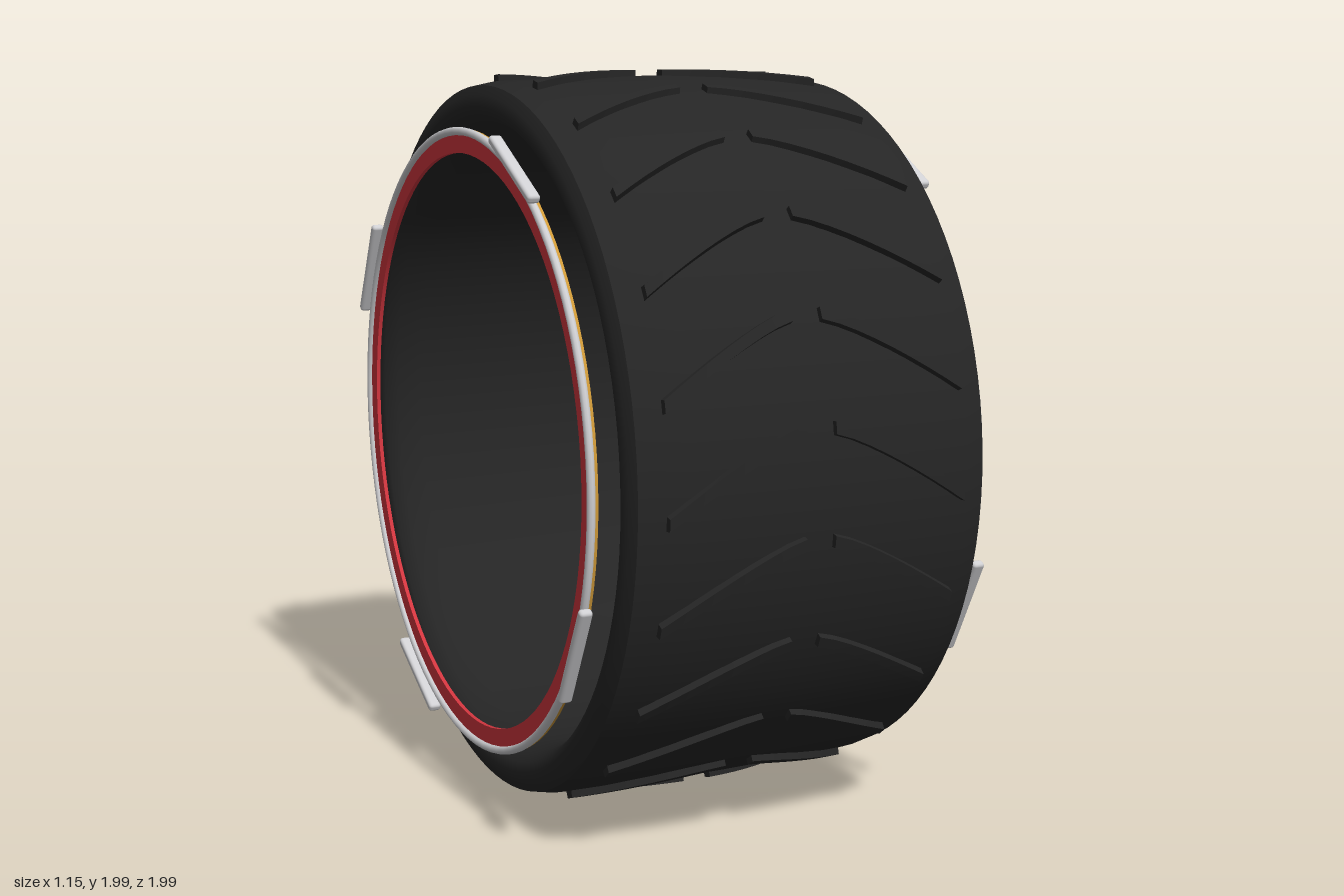
import * as THREE from 'three';
import { mergeGeometries, toCreasedNormals } from 'three/addons/utils/BufferGeometryUtils.js';
import { RoundedBoxGeometry } from 'three/addons/geometries/RoundedBoxGeometry.js';

const material = (name, color) => {
  const m = new THREE.MeshStandardMaterial({ color });
  m.name = name;
  return m;
};

// Closed [radius, x] profile turned around the x axis
function ringGeometry(profile, crease) {
  const points = [...profile, profile[0]].map(([r, x]) => new THREE.Vector2(r, x));
  const geometry = new THREE.LatheGeometry(points, 96).rotateZ(-Math.PI / 2);
  return toCreasedNormals(geometry, crease);
}

// One raised tread bar, swept back and wrapped around the tyre
function treadBar(side, startAngle) {
  const length = 0.37, inner = 0.04, sweep = 0.2;
  const geometry = new THREE.BoxGeometry(length, 1, 0.042, 8, 1, 2);
  const p = geometry.attributes.position;
  for (let i = 0; i < p.count; i++) {
    const x = side * (inner + length / 2) + p.getX(i);
    const t = THREE.MathUtils.clamp((Math.abs(x) - inner) / length, 0, 1);
    const top = p.getY(i) > 0;
    const r = top ? 0.996 - 0.006 * t * t : 0.955;
    const angle = startAngle - sweep * Math.pow(t, 1.25) - p.getZ(i) * (top ? 0.75 : 1);
    p.setXYZ(i, x, r * Math.sin(angle), r * Math.cos(angle));
  }
  geometry.computeVertexNormals();
  return geometry;
}

export function createModel() {
  const rubber = material('rubber black', 0x252525);
  const red = material('rim red', 0xd3363f);
  const silver = material('silver', 0xcfcfd2);
  const gold = material('gold', 0xd09a38);

  const model = new THREE.Group();
  model.name = 'wheel';
  const wheel = new THREE.Group();
  wheel.name = 'wheelAssembly';
  wheel.position.y = 1;
  model.add(wheel);

  const add = (parent, name, geometry, mat) => {
    const mesh = new THREE.Mesh(geometry, mat);
    mesh.name = name;
    parent.add(mesh);
    return mesh;
  };

  // Tyre: crown, rounded shoulders, sidewalls curving in to the bore
  const half = [[0.98, 0.04], [0.977, 0.2], [0.974, 0.34], [0.97, 0.43], [0.96, 0.48], [0.935, 0.493],
    [0.905, 0.5], [0.88, 0.488], [0.858, 0.455], [0.845, 0.41], [0.84, 0.39]];
  const tyreProfile = [...half.map(([r, x]) => [r, -x]).reverse(), ...half];
  add(wheel, 'tyre', ringGeometry(tyreProfile, 0.7), rubber);

  // Chevron tread
  const bars = [];
  const count = 22;
  for (let i = 0; i < count; i++) {
    const angle = THREE.MathUtils.degToRad(9.2) + (i / count) * Math.PI * 2;
    for (const side of [-1, 1]) bars.push(treadBar(side, angle));
  }
  add(wheel, 'treadBars', mergeGeometries(bars), rubber);

  // Floating ring assembly on each side
  for (const side of [-1, 1]) {
    const rim = new THREE.Group();
    rim.name = side > 0 ? 'leftRing' : 'rightRing';
    wheel.add(rim);

    // Flat red band
    const band = ringGeometry([[0.782, -0.0055], [0.832, -0.0055], [0.832, 0.0055], [0.782, 0.0055]], 0.5);
    add(rim, 'redBand', band, red).position.x = side * 0.5415;

    // Silver outer hoop
    const hoop = new THREE.TorusGeometry(0.84, 0.011, 10, 96).rotateY(Math.PI / 2);
    add(rim, 'silverHoop', hoop, silver).position.x = side * 0.547;

    // Gold line behind the hoop, facing the tyre
    const r = side > 0 ? 0.838 : 0.846;
    const line = ringGeometry([[r - 0.012, -0.004], [r, -0.004], [r, 0.004], [r - 0.012, 0.004]], 0.5);
    add(rim, 'goldLine', line, gold).position.x = side * 0.535;

    // Four silver clips around the hoop
    for (let i = 0; i < 4; i++) {
      const pivot = new THREE.Group();
      pivot.name = 'clipPivot';
      pivot.rotation.x = THREE.MathUtils.degToRad(27.5) + (i * Math.PI) / 2;
      rim.add(pivot);
      const clip = new RoundedBoxGeometry(0.035, 0.024, 0.3, 2, 0.009);
      // Bend slightly along the hoop
      const p = clip.attributes.position;
      for (let k = 0; k < p.count; k++) p.setY(k, p.getY(k) - 0.25 * p.getZ(k) ** 2);
      add(pivot, 'clip', clip, silver).position.set(side * 0.56, 0.868, 0);
    }
  }
  return model;
}
